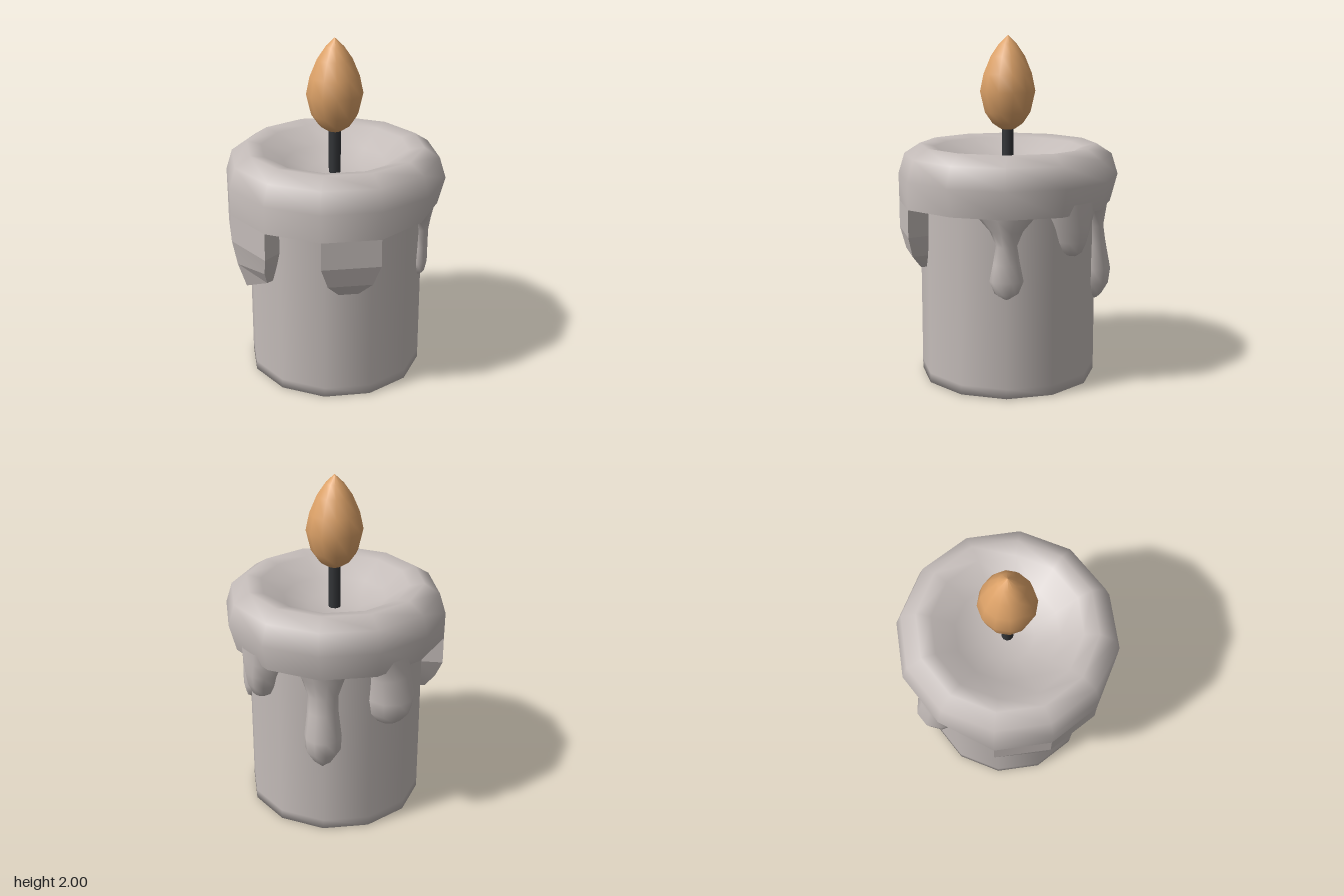
import * as THREE from 'three';
import { toCreasedNormals } from 'three/addons/utils/BufferGeometryUtils.js';

const rad = THREE.MathUtils.degToRad;
const SIDES = 12;

// Lathe from [radius, y] pairs; start turns the ring of corners
function lathe(profile, start) {
  const pts = profile.map(([r, y]) => new THREE.Vector2(r, y));
  return new THREE.LatheGeometry(pts, SIDES, rad(start));
}

// Solid from loops of points, listed from top to bottom, closed at the lower end
function loft(loops) {
  const n = loops[0].length;
  const index = [];
  for (let i = 0; i < loops.length - 1; i++) {
    for (let j = 0; j < n; j++) {
      const a = i * n + j, b = i * n + (j + 1) % n;
      index.push(a, b, a + n, b, b + n, a + n);
    }
  }
  const last = (loops.length - 1) * n;
  for (let j = 1; j < n - 1; j++) index.push(last + j, last + j + 1, last);
  const geo = new THREE.BufferGeometry();
  geo.setAttribute('position', new THREE.Float32BufferAttribute(loops.flat(2), 3));
  geo.setIndex(index);
  geo.computeVertexNormals();
  return geo;
}

// Point on a 12-sided ring whose corners sit at 12 + 30k degrees
function onRing(deg, y, r) {
  const off = ((((deg - 12) % 30) + 30) % 30) - 15;
  const d = r * Math.cos(rad(15)) / Math.cos(rad(off));
  return [d * Math.cos(rad(deg)), y, d * Math.sin(rad(deg))];
}

// Angular slab following the collar facets; each row lists [angle, y, radius]
function slabDrip(rows) {
  const loops = rows.map((row) => [
    ...row.map(([a, y, r]) => onRing(a, y, r)),
    ...[...row].reverse().map(([a, y]) => onRing(a, y, 0.49)),
  ]);
  return toCreasedNormals(loft(loops), 0.15);
}

// Rounded drip at an angle; rows are [y, half width, depth]
function roundDrip(deg, rows) {
  const c = Math.cos(rad(deg)), s = Math.sin(rad(deg));
  const loops = rows.map(([y, w, d]) => Array.from({ length: 10 }, (_, k) => {
    const p = k / 10 * Math.PI * 2;
    const t = -w * Math.cos(p), n = 0.5 + d * Math.sin(p);
    return [c * n - s * t, y, s * n + c * t];
  }));
  return loft(loops);
}

export function createModel() {
  const model = new THREE.Group();
  const paint = (name, color) => {
    const m = new THREE.MeshStandardMaterial({ color });
    m.name = name;
    return m;
  };
  const wax = paint('wax', 0xc4bcb9);
  const wickBlack = paint('wick black', 0x333538);
  const flameOrange = paint('flame orange', 0xdda268);
  const add = (name, geo, mat) => {
    const mesh = new THREE.Mesh(geo, mat);
    mesh.name = name;
    model.add(mesh);
  };

  // Candle body
  add('candleBody', lathe([[0, 0], [0.45, 0], [0.515, 0.004], [0.515, 0.06], [0.515, 1.1]], 18), wax);

  // Melted collar with a dished top; its lower rim swells above the slab drips
  const collar = lathe([
    [0.47, 1.05], [0.6, 1.04], [0.642, 1.2], [0.605, 1.32], [0.515, 1.378],
    [0.43, 1.36], [0.3, 1.27], [0.16, 1.22], [0, 1.205],
  ], 18);
  const pos = collar.attributes.position;
  for (let i = 0; i < pos.count; i++) {
    const x = pos.getX(i), z = pos.getZ(i);
    const deg = THREE.MathUtils.radToDeg(Math.atan2(z, x));
    if (Math.abs(pos.getY(i) - 1.04) < 0.001 && deg > 40 && deg < 164) {
      pos.setX(i, x * 0.64 / 0.6);
      pos.setZ(i, z * 0.64 / 0.6);
    }
  }
  add('meltedCollar', toCreasedNormals(collar, 0.95), wax);

  // Angular drips at the front
  add('frontRightDrip', slabDrip([
    [[102, 1.05, 0.64], [132, 1.05, 0.64], [162, 1.05, 0.64]],
    [[102, 0.88, 0.64], [132, 0.88, 0.64], [162, 0.88, 0.64]],
    [[106, 0.77, 0.61], [132, 0.73, 0.61], [158, 0.77, 0.61]],
    [[110, 0.68, 0.56], [132, 0.58, 0.56], [154, 0.68, 0.56]],
  ]), wax);
  add('frontLeftDrip', slabDrip([
    [[42, 1.05, 0.64], [72, 1.05, 0.64]],
    [[42, 0.88, 0.64], [72, 0.88, 0.64]],
    [[45, 0.76, 0.61], [69, 0.76, 0.61]],
    [[51, 0.68, 0.55], [63, 0.68, 0.55]],
  ]), wax);

  // Rounded drips at the side and back
  add('leftDrip', roundDrip(-18, [
    [1.08, 0.19, 0.09], [1.03, 0.15, 0.085], [0.96, 0.09, 0.07], [0.88, 0.058, 0.057],
    [0.78, 0.074, 0.055], [0.68, 0.094, 0.055], [0.61, 0.065, 0.04], [0.58, 0.015, 0.015],
  ]), wax);
  add('backLeftDrip', roundDrip(-63, [
    [1.1, 0.17, 0.11], [1.03, 0.155, 0.11], [0.95, 0.115, 0.11],
    [0.88, 0.09, 0.1], [0.82, 0.055, 0.075], [0.795, 0.02, 0.04],
  ]), wax);
  add('backDrip', roundDrip(-108, [
    [1.08, 0.18, 0.09], [1.0, 0.12, 0.08], [0.9, 0.088, 0.065], [0.8, 0.088, 0.08],
    [0.64, 0.106, 0.112], [0.55, 0.1, 0.1], [0.48, 0.055, 0.06], [0.45, 0.012, 0.03],
  ]), wax);
  add('backRightDrip', roundDrip(-153, [
    [1.1, 0.17, 0.1], [0.98, 0.13, 0.11], [0.85, 0.14, 0.15],
    [0.76, 0.125, 0.13], [0.7, 0.08, 0.08], [0.67, 0.03, 0.03],
  ]), wax);

  // Wick
  const wick = new THREE.CylinderGeometry(0.035, 0.035, 0.32, 10);
  wick.translate(0, 1.34, 0);
  add('wick', wick, wickBlack);

  // Flame
  add('flame', lathe([
    [0, 1.455], [0.04, 1.462], [0.09, 1.495], [0.135, 1.56], [0.163, 1.68],
    [0.142, 1.78], [0.1, 1.88], [0.052, 1.95], [0, 2],
  ], 0), flameOrange);

  return model;
}
